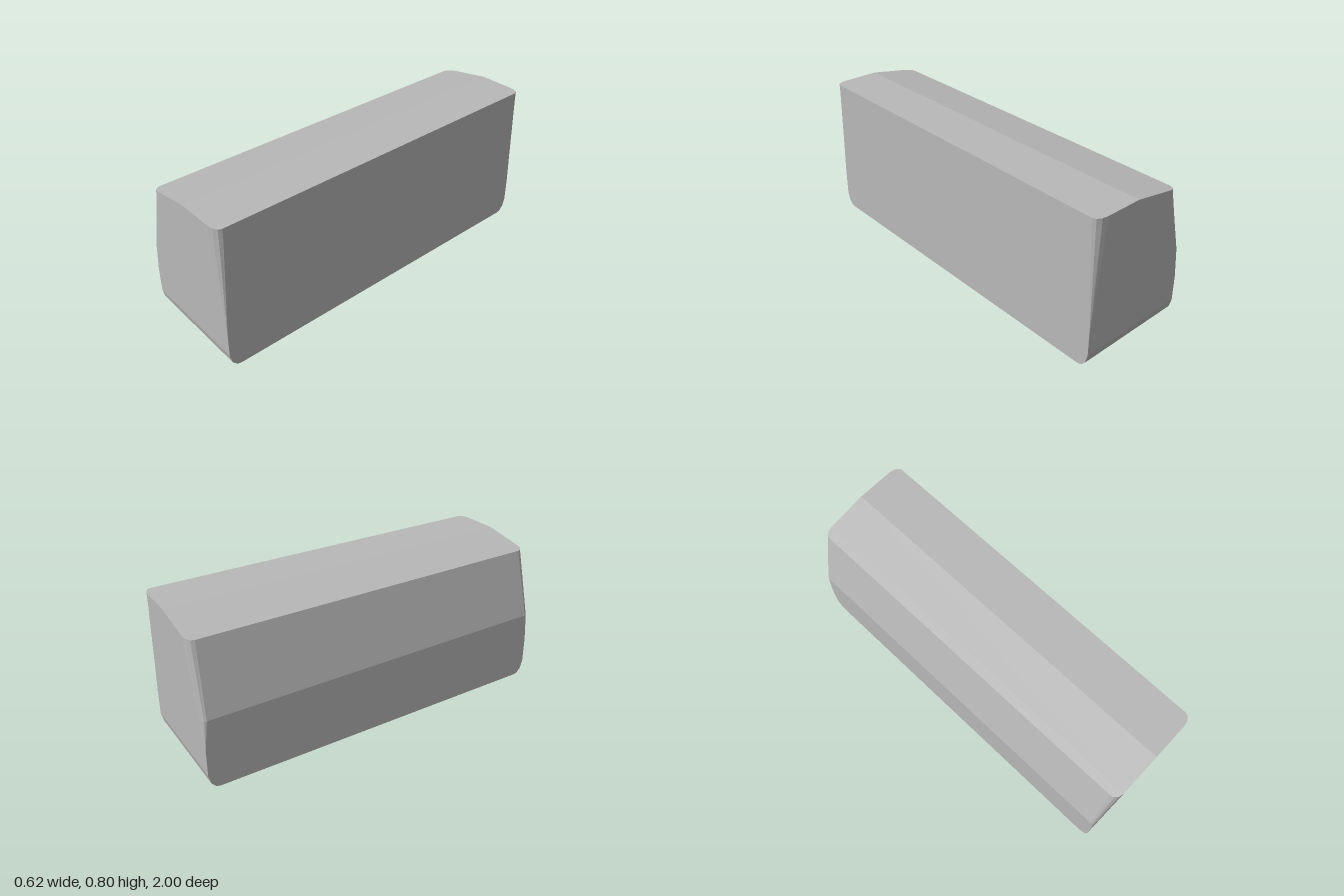
import * as THREE from 'three';

const RIGHT_X = 0.31, RIDGE_X = 0.05, TOP = 0.797, SHOULDER = 0.75;

// Height of the lid: sloped on the -x side, flat on the +x side
const lidY = x => Math.min(TOP, SHOULDER + (x + 0.22) * (TOP - SHOULDER) / (RIDGE_X + 0.22));

// Levels: y, end z, x of sloping side, left corner [cx, cz], right corner [cx, cz]
const LEVELS = [
  [0, 0.94, -0.31, 0, 0, 0, 0],
  [0.005, 0.963, -0.31, 0, 0, 0, 0],
  [0.032, 0.988, -0.31, 0, 0, 0, 0],
  [0.08, 1, -0.31, 0, 0, 0, 0],
  [0.22, 1, -0.31, 0.003, 0.002, 0.003, 0.002],
  [0.38, 1, -0.31, 0.035, 0.022, 0.025, 0.012],
  [SHOULDER, 1, -0.22, 0.045, 0.04, 0.06, 0.035],
  [TOP, 1, -0.22, 0.045, 0.04, 0.06, 0.035],
];
const ARC = [0, 1, 2, 3].map(i => i * Math.PI / 6);

// Front half of one horizontal section, from -x to +x
function section([y, z, left, lcx, lcz, rcx, rcz]) {
  const pts = ARC.map(a => [left + lcx * (1 - Math.cos(a)), z - lcz * (1 - Math.sin(a))]);
  pts.push([RIDGE_X, z]);
  [...ARC].reverse().forEach(a => pts.push([RIGHT_X - rcx * (1 - Math.cos(a)), z - rcz * (1 - Math.sin(a))]));
  return pts.map(([x, pz]) => [x, y === TOP ? lidY(x) : y, pz]);
}

function buildBody() {
  const front = LEVELS.map(section);
  const back = front.map(row => row.map(([x, y, z]) => [x, y, -z]));
  const pos = [];
  const quad = (a, b, c, d) => pos.push(...a, ...b, ...c, ...a, ...c, ...d);
  const n = front[0].length - 1, m = front.length - 1;
  for (let j = 0; j < m; j++) {
    const f = front[j], F = front[j + 1], b = back[j], B = back[j + 1];
    // Rounded ends
    for (let i = 0; i < n; i++) {
      quad(f[i], f[i + 1], F[i + 1], F[i]);
      quad(b[i + 1], b[i], B[i], B[i + 1]);
    }
    // Long sides
    quad(b[0], f[0], F[0], B[0]);
    quad(f[n], b[n], B[n], F[n]);
  }
  // Lid and underside
  for (let i = 0; i < n; i++) {
    quad(front[m][i], front[m][i + 1], back[m][i + 1], back[m][i]);
    quad(back[0][i], back[0][i + 1], front[0][i + 1], front[0][i]);
  }
  // Drop collapsed triangles
  const out = [], t = new THREE.Triangle();
  for (let i = 0; i < pos.length; i += 9) {
    t.a.fromArray(pos, i); t.b.fromArray(pos, i + 3); t.c.fromArray(pos, i + 6);
    if (t.getArea() > 1e-9) out.push(...pos.slice(i, i + 9));
  }
  const geo = new THREE.BufferGeometry();
  geo.setAttribute('position', new THREE.Float32BufferAttribute(out, 3));
  geo.computeVertexNormals();
  return geo;
}

export function createModel() {
  const grey = new THREE.MeshStandardMaterial({ color: 0xb8b8b8 });
  grey.name = 'plain grey';
  const body = new THREE.Mesh(buildBody(), grey);
  body.name = 'body';
  const group = new THREE.Group();
  group.name = 'bevelledBlock';
  group.add(body);
  return group;
}
